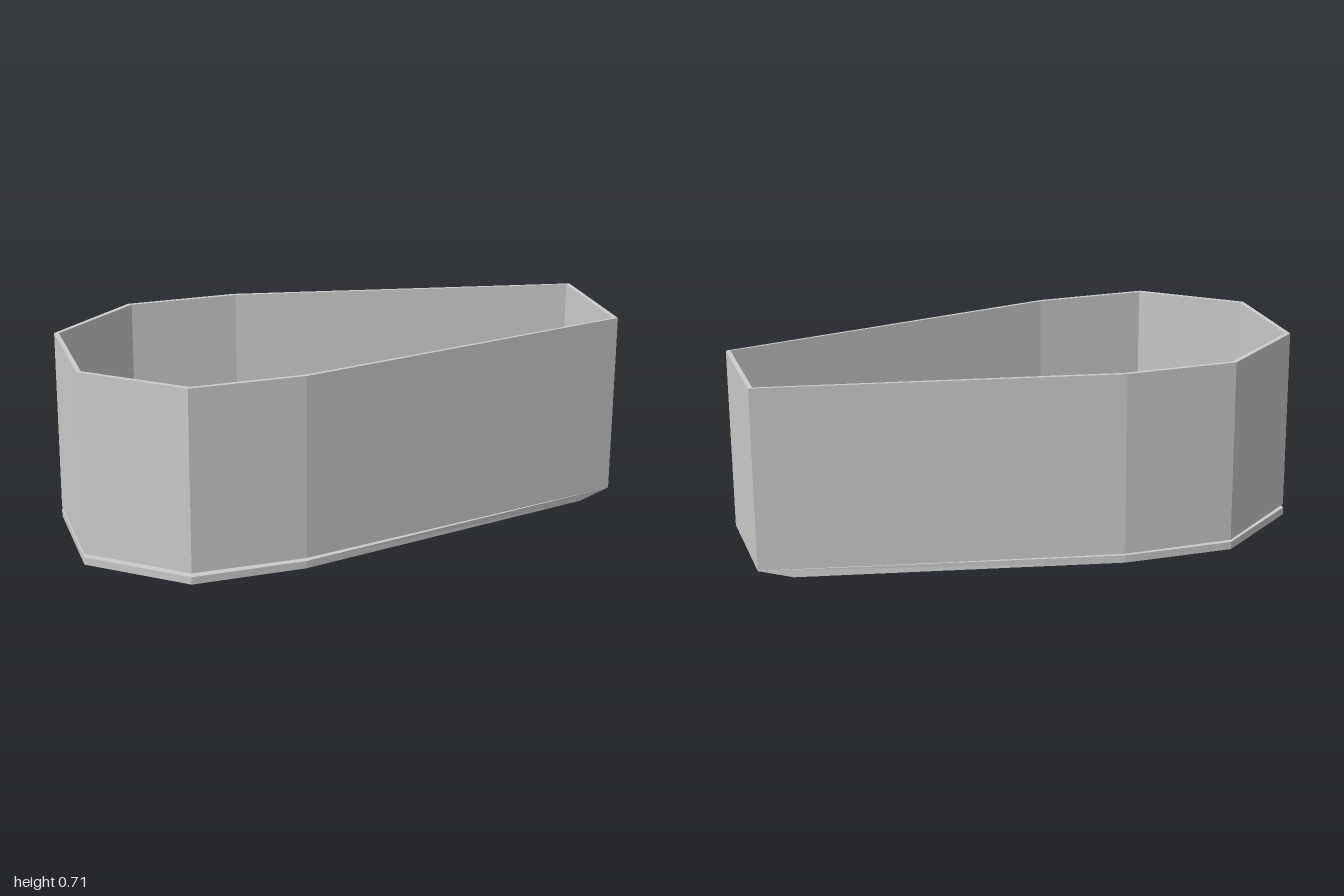
import * as THREE from 'three';

// Tapered eight-sided plan, as x, z
const outline = [
  [-1, 0.213], [-0.68, 0.477], [-0.27, 0.473], [0.99, 0.206],
  [0.99, -0.235], [-0.275, -0.478], [-0.68, -0.473], [-1, -0.217],
];

const planPoints = (sx = 1, sz = 1) =>
  outline.map(([x, z]) => new THREE.Vector2(x * sx, -z * sz));

// Extrudes a plan to unit height, then moves each vertex by a rule
function extrudePlan(shape, rule) {
  const geometry = new THREE.ExtrudeGeometry(shape, { depth: 1, bevelEnabled: false });
  geometry.rotateX(-Math.PI / 2);
  const pos = geometry.attributes.position;
  const v = new THREE.Vector3();
  for (let i = 0; i < pos.count; i++) {
    rule(v.fromBufferAttribute(pos, i));
    pos.setXYZ(i, v.x, v.y, v.z);
  }
  geometry.computeVertexNormals();
  return geometry;
}

export function createModel() {
  const group = new THREE.Group();
  const material = new THREE.MeshStandardMaterial({ color: 0xcccccc, flatShading: true });
  const add = (name, geometry) => {
    const mesh = new THREE.Mesh(geometry, material);
    mesh.name = name;
    group.add(mesh);
  };

  // Thin open walls, tilted very slightly
  const wallShape = new THREE.Shape(planPoints());
  wallShape.holes.push(new THREE.Path(planPoints(0.984, 0.968)));
  add('walls', extrudePlan(wallShape, (v) => {
    const t = v.y;
    v.y = THREE.MathUtils.lerp(0.035, 0.704, t) - 0.007 * v.x + 0.01 * v.z;
    v.x += 0.007 * t;
    v.z += 0.004 - 0.008 * t;
  }));

  // Floor board, its underside cut back at the narrow end
  add('floor', extrudePlan(new THREE.Shape(planPoints()), (v) => {
    if (v.y < 0.5 && v.x > 0.9) {
      v.x = 0.87;
      v.z *= 1.11;
    }
    v.y *= 0.028;
  }));

  return group;
}
